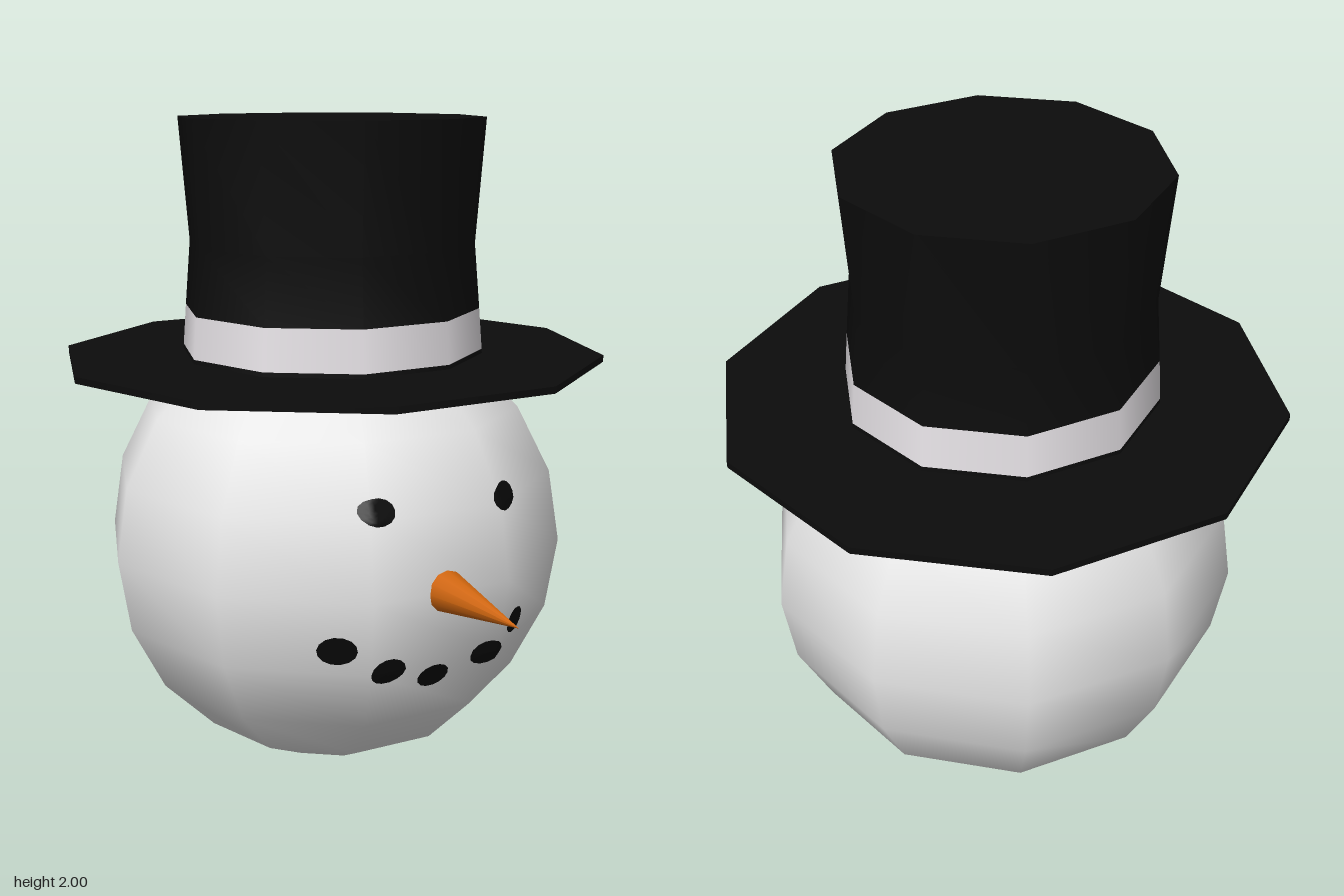
import * as THREE from 'three';

const mat = (name, color) => {
  const m = new THREE.MeshStandardMaterial({ color });
  m.name = name;
  return m;
};

export function createModel() {
  const model = new THREE.Group();
  model.name = 'snowmanHead';
  const snow = mat('snow white', 0xe7e7e7);
  const black = mat('hat black', 0x0c0c0c);
  const orange = mat('carrot orange', 0xd0660f);
  const coal = mat('coal black', 0x080808);
  const ribbon = mat('ribbon white', 0xeae6ea);
  const CZ = -0.113; // shared axis of head and hat

  const add = (name, geometry, material, parent = model) => {
    const mesh = new THREE.Mesh(geometry, material);
    mesh.name = name;
    parent.add(mesh);
    return mesh;
  };

  // Ball of snow, ten sides and ten rings
  const head = add('head', new THREE.SphereGeometry(0.712, 10, 10), snow);
  head.position.set(0, 0.717, CZ);
  head.rotation.y = -0.04;
  head.updateMatrixWorld(true);

  // Carrot nose
  const nose = add('nose', new THREE.ConeGeometry(0.062, 0.345, 12), orange);
  nose.rotation.x = Math.PI / 2;
  nose.position.set(-0.008, 0.716, 0.722);

  // Coal pieces: thin oval patches laid onto the surface of the head
  const ray = new THREE.Raycaster();
  const forward = new THREE.Vector3(0, 0, -1);
  const coalPatch = (name, x, y, w, h, parent) => {
    const g = new THREE.RingGeometry(0.001, 1, 14, 4);
    const p = g.attributes.position;
    for (let i = 0; i < p.count; i++) {
      const px = x + p.getX(i) * w / 2, py = y + p.getY(i) * h / 2;
      ray.set(new THREE.Vector3(px, py, 2), forward);
      const hit = ray.intersectObject(head)[0];
      p.setXYZ(i, px, py, (hit ? hit.point.z : 0.5) + 0.006);
    }
    g.computeVertexNormals();
    add(name, g, coal, parent);
  };
  const face = new THREE.Group();
  face.name = 'face';
  model.add(face);
  coalPatch('rightEye', -0.21, 0.964, 0.105, 0.074, face);
  coalPatch('leftEye', 0.212, 0.953, 0.105, 0.076, face);
  [
    [-0.318, 0.57, 0.092, 0.086],
    [-0.182, 0.5, 0.11, 0.08],
    [-0.025, 0.453, 0.1, 0.078],
    [0.145, 0.497, 0.115, 0.077],
    [0.272, 0.561, 0.096, 0.078],
  ].forEach(([x, y, w, h], i) => coalPatch('mouthCoal' + (i + 1), x, y, w, h, face));

  // Top hat: ten-sided, corners on the x axis
  const hat = new THREE.Group();
  hat.name = 'hat';
  hat.position.z = CZ;
  model.add(hat);
  const lathe = (points) => new THREE.LatheGeometry(
    points.map(([r, y]) => new THREE.Vector2(r, y)), 10, Math.PI / 2);
  const turn = Math.PI / 2;

  const brim = add('brim', new THREE.CylinderGeometry(0.83, 0.83, 0.02, 10, 1, false, turn), black, hat);
  brim.position.y = 1.285;
  add('crownFoot', lathe([[0.463, 1.29], [0.462, 1.308]]), black, hat);
  add('hatBand', lathe([[0.462, 1.308], [0.452, 1.433]]), ribbon, hat);
  add('crown', lathe([[0.452, 1.433], [0.435, 1.63], [0.463, 2]]), black, hat);
  const top = add('crownTop', new THREE.CircleGeometry(0.463, 10), black, hat);
  top.rotation.x = -Math.PI / 2;
  top.position.y = 2;

  return model;
}
